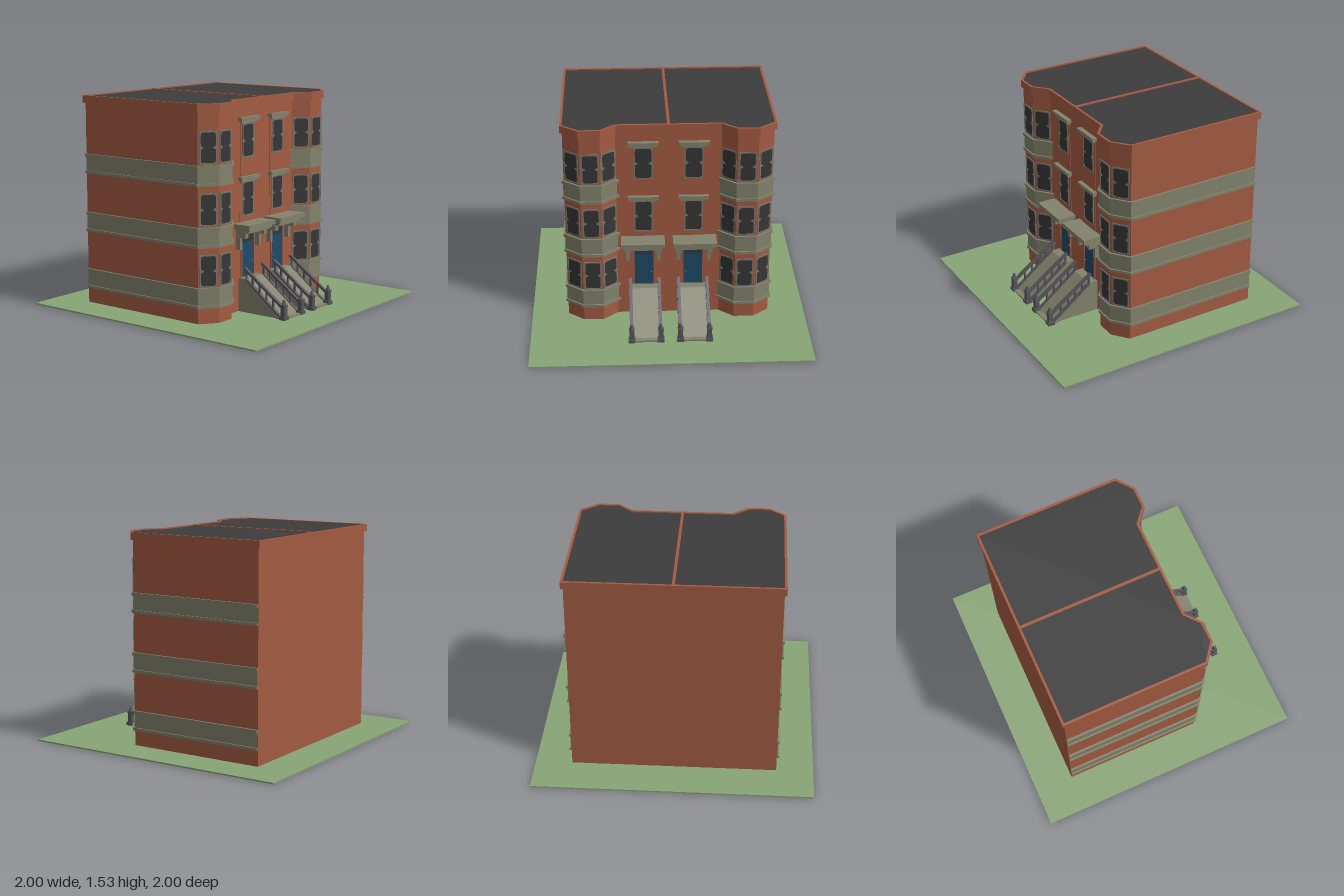
import * as THREE from 'three';

const mat = (name, color) => Object.assign(new THREE.MeshStandardMaterial({ color }), { name });
const brick = mat('brick', 0xa35b42);
const stone = mat('stone', 0x82826c);
const glass = mat('darkGlass', 0x363636);
const roofing = mat('roofing', 0x3c3c3c);
const grass = mat('grass', 0x88a476);
const blue = mat('doorBlue', 0x1f4a69);
const transomMat = mat('transom', 0x30383f);
const trim = mat('windowTrim', 0x78786f);
const iron = mat('iron', 0x57555a);
const brass = mat('brass', 0xa08a50);

const FRONT = 0.315, BACK = -0.715, BAY = 0.405;

function add(parent, name, geometry, material, x = 0, y = 0, z = 0) {
  const m = new THREE.Mesh(geometry, material);
  m.name = name;
  m.position.set(x, y, z);
  parent.add(m);
  return m;
}

// box given by its limits
function box(parent, name, material, x0, x1, y0, y1, z0, z1) {
  return add(parent, name, new THREE.BoxGeometry(x1 - x0, y1 - y0, z1 - z0), material,
    (x0 + x1) / 2, (y0 + y1) / 2, (z0 + z1) / 2);
}

// upright prism over a plan outline of [x, z] points
function prism(parent, name, material, plan, y0, y1, hole) {
  const toPoints = (p) => p.map(([x, z]) => new THREE.Vector2(x, -z));
  const shape = new THREE.Shape(toPoints(plan));
  if (hole) shape.holes.push(new THREE.Path(toPoints(hole)));
  const g = new THREE.ExtrudeGeometry(shape, { depth: y1 - y0, bevelEnabled: false });
  g.rotateX(-Math.PI / 2);
  return add(parent, name, g, material, 0, y0, 0);
}

// bay and side outline of the left half, pushed outward by o
const bayLine = (o) => [
  [0.475 - 0.365 * o, BAY + o], [0.62 + 0.365 * o, BAY + o], [0.735 + o, FRONT + 0.48 * o],
];
function housePlan(o) {
  const half = [[0.37 - 0.365 * o, FRONT + o], ...bayLine(o), [0.735 + o, BACK - o]];
  return [...half, ...half.map(([x, z]) => [-x, z]).reverse()];
}
const bandPlan = (o, s) => [
  [0.37 - 1.59 * o, 0.25], [0.37 - 1.59 * o, FRONT], ...bayLine(o),
  [0.735 + o, BACK + 0.001], [0.6, BACK + 0.001], [0.6, 0.25],
].map(([x, z]) => [s * x, z]);

// two-light sash window with scalloped corners and a pinched waist
function windowUnit(parent, name, w, h, x, y, z, turn = 0) {
  const g = new THREE.Group();
  g.name = name;
  g.position.set(x, y, z);
  g.rotation.y = turn;
  const a = w / 2, b = h / 2, i = a - 0.01, j = b - 0.01, r = 0.02;
  const frame = new THREE.Shape();
  frame.moveTo(-a, -b).lineTo(a, -b).lineTo(a, b).lineTo(-a, b).closePath();
  const hole = new THREE.Path();
  hole.moveTo(-i + r, -j).quadraticCurveTo(-i, -j, -i, -j + r);
  hole.lineTo(-i, -0.014).lineTo(-i + 0.022, 0).lineTo(-i, 0.014).lineTo(-i, j - r);
  hole.quadraticCurveTo(-i, j, -i + r, j).lineTo(i - r, j).quadraticCurveTo(i, j, i, j - r);
  hole.lineTo(i, 0.014).lineTo(i - 0.022, 0).lineTo(i, -0.014).lineTo(i, -j + r);
  hole.quadraticCurveTo(i, -j, i - r, -j).closePath();
  frame.holes.push(hole);
  add(g, 'windowFrame', new THREE.ExtrudeGeometry(frame,
    { depth: 0.006, bevelEnabled: false, curveSegments: 4 }), trim);
  add(g, 'windowGlass', new THREE.BoxGeometry(w - 0.004, h - 0.004, 0.004), glass, 0, 0, 0.001);
  parent.add(g);
}

// everything belonging to one of the two mirrored houses
function house(s) {
  const g = new THREE.Group();
  g.name = s > 0 ? 'leftHouse' : 'rightHouse';
  const cx = s * 0.1775;

  // stone belt courses around bay and side
  for (const y of [0.12, 0.54, 0.965]) {
    prism(g, 'beltLowerTrim', stone, bandPlan(0.015, s), y, y + 0.02);
    prism(g, 'beltCourse', stone, bandPlan(0.005, s), y + 0.02, y + 0.12);
    prism(g, 'beltUpperTrim', stone, bandPlan(0.015, s), y + 0.12, y + 0.143);
  }

  // bay windows on three facets
  const turn = Math.atan2(0.09, 0.115) - Math.PI / 2;
  for (const y of [0.38, 0.805, 1.23]) {
    windowUnit(g, 'bayFrontWindow', 0.125, 0.228, s * 0.5475, y, BAY);
    windowUnit(g, 'bayOuterWindow', 0.125, 0.228, s * 0.6775, y, 0.36, -s * (turn + 0.25));
    windowUnit(g, 'bayInnerWindow', 0.125, 0.228, s * 0.4225, y, 0.36, s * (turn + 0.25));
  }

  // flat windows in a raised brick panel with stone lintels
  box(g, 'windowPanel', brick, cx - 0.088, cx + 0.088, 0.64, 1.37, FRONT - 0.01, FRONT + 0.004);
  for (const [y, h, top] of [[0.815, 0.25, 0.938], [1.23, 0.245, 1.357]]) {
    windowUnit(g, 'flatWindow', 0.135, h, cx, y, FRONT + 0.004);
    box(g, 'lintel', stone, cx - 0.093, cx + 0.093, top, top + 0.016, FRONT, FRONT + 0.022);
    box(g, 'lintelCap', stone, cx - 0.108, cx + 0.108, top + 0.016, top + 0.04, FRONT, FRONT + 0.035);
  }

  // door with transom and knob
  for (const d of [-1, 1])
    box(g, 'doorJamb', brick, cx + d * 0.0725 - 0.005, cx + d * 0.0725 + 0.005, 0.25, 0.565, FRONT, FRONT + 0.01);
  box(g, 'doorHead', brick, cx - 0.0775, cx + 0.0775, 0.56, 0.57, FRONT, FRONT + 0.01);
  box(g, 'door', blue, cx - 0.068, cx + 0.068, 0.25, 0.56, FRONT - 0.004, FRONT + 0.004);
  box(g, 'doorTransom', transomMat, cx - 0.06, cx + 0.06, 0.5, 0.555, FRONT, FRONT + 0.006);
  add(g, 'doorKnob', new THREE.SphereGeometry(0.005, 8, 6), brass, s * 0.123, 0.355, FRONT + 0.008);

  // stepped canopy on brackets
  const hood = s * 0.185;
  box(g, 'canopyTop', stone, hood - 0.156, hood + 0.156, 0.622, 0.652, FRONT, 0.457);
  box(g, 'canopyMiddle', stone, hood - 0.135, hood + 0.135, 0.603, 0.622, FRONT, 0.442);
  box(g, 'canopySoffit', stone, hood - 0.125, hood + 0.125, 0.588, 0.603, FRONT, 0.425);
  for (const x of [0.07, 0.293]) {
    const b = s * x;
    box(g, 'bracketHead', stone, b - 0.018, b + 0.018, 0.55, 0.59, FRONT, 0.4);
    box(g, 'bracketLeg', stone, b - 0.014, b + 0.014, 0.463, 0.55, FRONT, 0.35);
  }

  // sloped stoop
  const side = new THREE.Shape([[0.3, 0.01], [0.69, 0.01], [0.69, 0.02], [0.385, 0.252], [0.3, 0.252]]
    .map(([z, y]) => new THREE.Vector2(-z, y)));
  const stoop = new THREE.ExtrudeGeometry(side, { depth: 0.21, bevelEnabled: false });
  stoop.rotateY(Math.PI / 2);
  add(g, 'stoop', stoop, stone, s * 0.1735 - 0.105);
  box(g, 'bottomStep', stone, s * 0.1735 - 0.115, s * 0.1735 + 0.115, 0.008, 0.022, 0.65, 0.725);

  // railings with newel posts
  for (const x0 of [0.07, 0.277]) {
    const x = s * x0;
    box(g, 'newelBase', iron, x - 0.025, x + 0.025, 0.01, 0.035, 0.685, 0.735);
    box(g, 'newelPost', iron, x - 0.017, x + 0.017, 0.035, 0.11, 0.693, 0.727);
    box(g, 'newelCap', iron, x - 0.02, x + 0.02, 0.105, 0.116, 0.69, 0.73);
    add(g, 'newelFinial', new THREE.CylinderGeometry(0.008, 0.017, 0.034, 8), iron, x, 0.132, 0.71);
    const dz = 0.33, dy = 0.235;
    const rail = add(g, 'handrail', new THREE.BoxGeometry(0.022, 0.018, Math.hypot(dz, dy)), iron,
      x, 0.095 + dy / 2, 0.7 - dz / 2);
    rail.rotation.x = Math.atan2(dy, dz);
    for (const z of [0.62, 0.56, 0.5, 0.44, 0.385]) {
      const foot = 0.02 + (0.69 - z) * 0.76;
      box(g, 'baluster', iron, x - 0.006, x + 0.006, foot - 0.01, 0.095 + (0.7 - z) * 0.712, z - 0.006, z + 0.006);
    }
    // sloping curb under the balusters
    const curb = add(g, 'railCurb', new THREE.BoxGeometry(0.024, 0.012, 0.38), iron, x, 0.136, 0.5375);
    curb.rotation.x = Math.atan2(0.232, 0.305);
  }
  return g;
}

export function createModel() {
  const model = new THREE.Group();
  model.name = 'rowHouses';

  box(model, 'lawn', grass, -1, 1, 0, 0.01, -1, 1);
  prism(model, 'brickWalls', brick, housePlan(0), 0.01, 1.48);

  // parapet ring, roof and party wall
  prism(model, 'parapet', brick, housePlan(0.016), 1.475, 1.528, housePlan(-0.001));
  prism(model, 'roof', roofing, housePlan(0.0005), 1.478, 1.52);
  box(model, 'partyWall', brick, -0.01, 0.01, 1.48, 1.528, BACK, FRONT);

  model.add(house(1), house(-1));
  return model;
}
